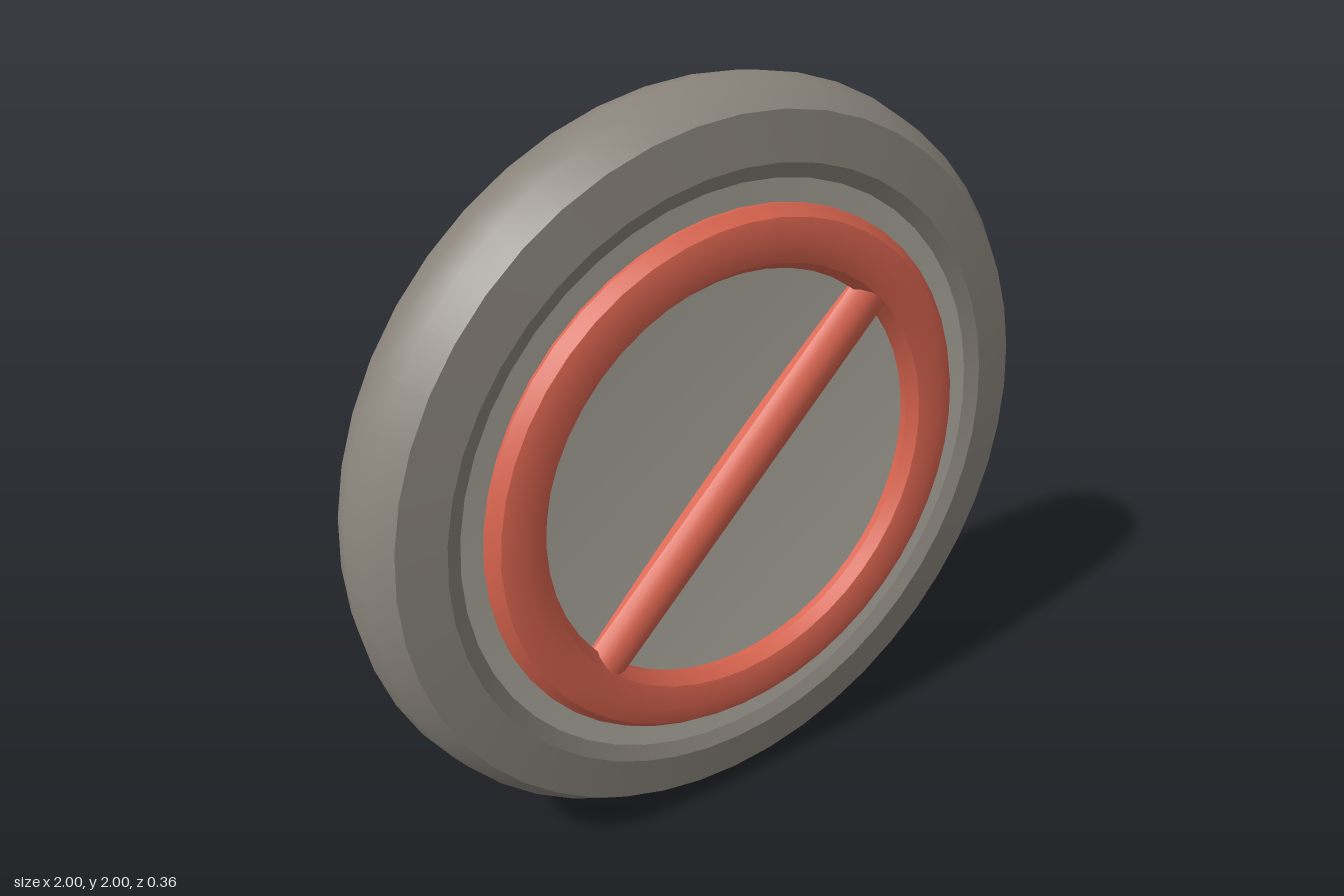
import * as THREE from 'three';
import { toCreasedNormals } from 'three/addons/utils/BufferGeometryUtils.js';

const SEGMENTS = 48;

const material = (name, color) => {
  const m = new THREE.MeshStandardMaterial({ color });
  m.name = name;
  return m;
};

// Revolve a [radius, z] profile around the z axis
function revolve(profile, crease) {
  const points = profile.map(([r, z]) => new THREE.Vector2(r, z));
  const geometry = new THREE.LatheGeometry(points, SEGMENTS).rotateX(Math.PI / 2);
  return crease ? toCreasedNormals(geometry, crease) : geometry;
}

// Straight bar along y: upright sides and a rounded top facing +z
function makeBar(length) {
  const side = [[0.065, 0.05], [0.065, 0.125], [0.05, 0.147], [0.026, 0.161]];
  const mirrored = side.slice().reverse().map(([x, z]) => [-x, z]);
  const outline = [...side, [0, 0.166], ...mirrored].map(([x, z]) => new THREE.Vector2(x, z));
  const geometry = new THREE.ExtrudeGeometry(new THREE.Shape(outline), { depth: length, bevelEnabled: false });
  geometry.translate(0, 0, -length / 2).rotateX(Math.PI / 2);
  // the quarter turn sends the outline's height to +z
  return toCreasedNormals(geometry, 0.55);
}

function part(name, geometry, mat) {
  const mesh = new THREE.Mesh(geometry, mat);
  mesh.name = name;
  return mesh;
}

export function createModel() {
  const rimGray = material('dark warm gray', 0x8a847b);
  const dishGray = material('light warm gray', 0xb5b0a6);
  const red = material('coral red', 0xd9644f);

  const model = new THREE.Group();
  model.name = 'disc';

  // Thick outer rim with rounded edge and sloping inner lip
  const half = [[1, 0], [0.985, 0.07], [0.94, 0.132], [0.82, 0.148], [0.74, 0.113]];
  const back = half.slice(1).reverse().map(([r, z]) => [r, -z]);
  model.add(part('rim', revolve([...back, ...half], 0.5), rimGray));

  // Shallow dish whose edge is sunk into the rim lip
  const dish = [];
  for (let i = 0; i <= 8; i++) {
    const r = 0.8 * (1 - i / 8);
    dish.push([r, 0.1 + 0.05 * r * r]);
  }
  const dishGeometry = revolve(dish);

  // Raised ring with bevelled edges
  const ringGeometry = revolve([
    [0.72, 0.05], [0.72, 0.135], [0.695, 0.165], [0.64, 0.18],
    [0.582, 0.165], [0.56, 0.135], [0.56, 0.05],
  ], 0.6);

  // Diagonal bar, its ends sunk into the ring
  const barGeometry = makeBar(1.2);

  // The same emblem sits on both faces, with the bars parallel
  for (const side of [1, -1]) {
    const face = new THREE.Group();
    face.name = side > 0 ? 'frontFace' : 'backFace';
    face.add(part('dish', dishGeometry, dishGray));
    face.add(part('ring', ringGeometry, red));
    const bar = part('diagonalBar', barGeometry, red);
    bar.rotation.z = -side * Math.PI / 4;
    face.add(bar);
    face.rotation.y = side > 0 ? 0 : Math.PI;
    model.add(face);
  }

  // Stand the disc on the ground
  model.children.forEach((child) => { child.position.y = 1; });
  return model;
}
